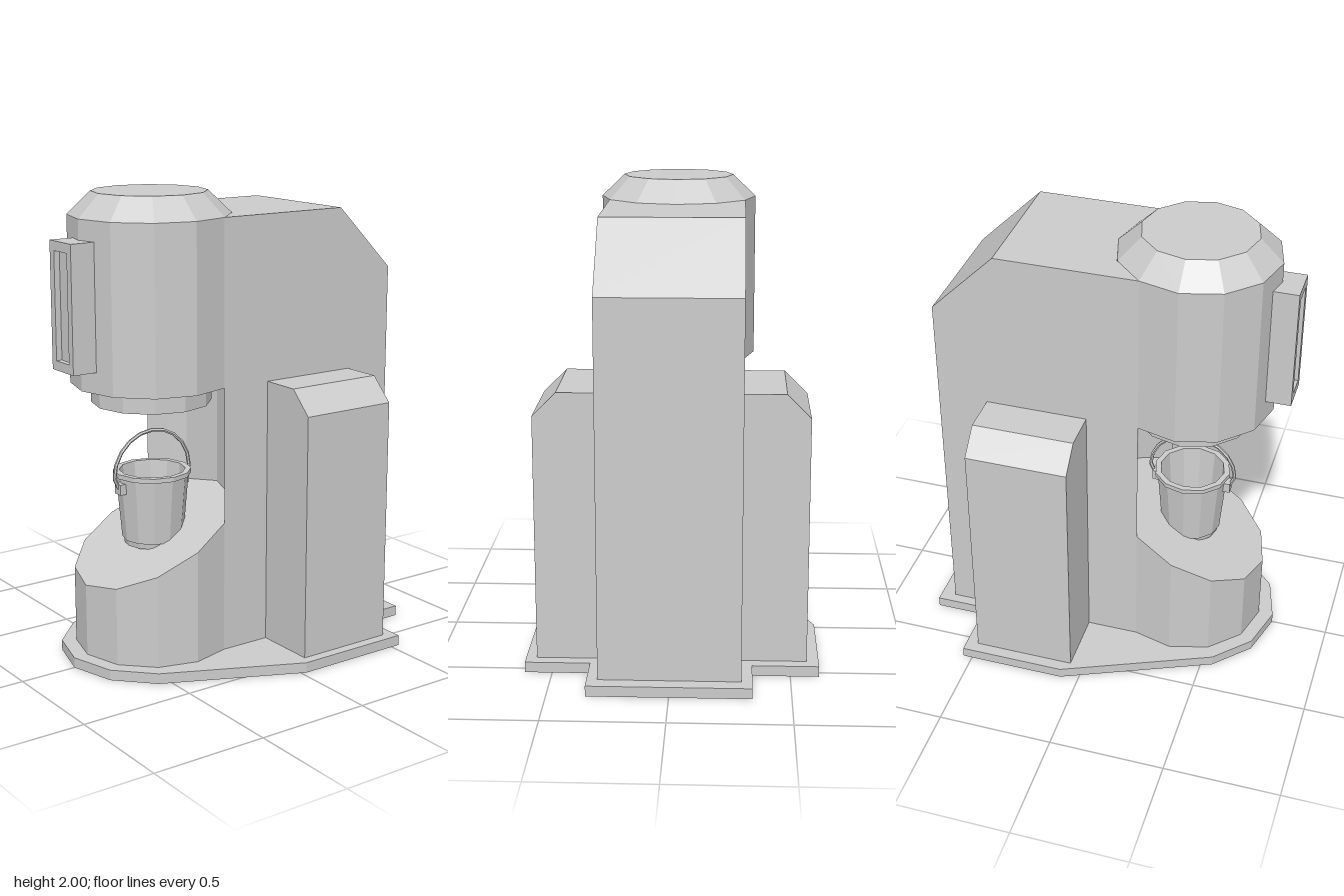
import * as THREE from 'three';

const BASE_TOP = 0.045;
const CZ = 0.345; // z of the round head, pedestal and bucket
const SIDES = 12;

const grey = new THREE.MeshStandardMaterial({ color: 0xcccccc, flatShading: true, side: THREE.DoubleSide });

function add(group, name, geometry, x = 0, y = 0, z = 0) {
  const mesh = new THREE.Mesh(geometry, grey);
  mesh.name = name;
  mesh.position.set(x, y, z);
  group.add(mesh);
  return mesh;
}

const shapeOf = (points) => new THREE.Shape(points.map(([a, b]) => new THREE.Vector2(a, b)));
const extrude = (shape, depth) => new THREE.ExtrudeGeometry(shape, { depth, bevelEnabled: false });

// Plan outline [x, z] raised from y0 to y1
function raisePlan(points, y0, y1) {
  return extrude(shapeOf(points.map(([x, z]) => [x, -z])), y1 - y0).rotateX(-Math.PI / 2).translate(0, y0, 0);
}

const lathe = (points, sides = SIDES) =>
  new THREE.LatheGeometry(points.map(([r, y]) => new THREE.Vector2(r, y)), sides);

export function createModel() {
  const model = new THREE.Group();
  model.name = 'bucketMachine';

  // Base plate
  add(model, 'basePlate', raisePlan([
    [-0.34, -0.77], [0.34, -0.77], [0.34, -0.54], [0.615, -0.54], [0.615, -0.02], [0.35, 0.55],
    [0.2, 0.695], [0, 0.75], [-0.2, 0.695], [-0.35, 0.55], [-0.62, -0.08], [-0.62, -0.54], [-0.34, -0.54],
  ], 0, BASE_TOP));

  // Rear body: side profile [z, y] extruded across the width
  const profile = shapeOf([[0.005, BASE_TOP], [0.005, 1.905], [-0.43, 1.905], [-0.705, 1.63], [-0.705, BASE_TOP]]);
  add(model, 'body', extrude(profile, 0.59).rotateY(-Math.PI / 2).translate(0.295, 0, 0));

  for (const s of [1, -1]) {
    // Cheeks forming the faceted hollow behind the bucket
    add(model, s > 0 ? 'leftCheek' : 'rightCheek', raisePlan(
      [[0, 0.005], [0.295 * s, 0.005], [0.295 * s, 0.177], [0.17 * s, 0.05]], BASE_TOP, 1.905));

    // Side towers with a chamfered outer top edge
    const tower = shapeOf([
      [0.29 * s, BASE_TOP], [0.57 * s, BASE_TOP], [0.57 * s, 1.1], [0.47 * s, 1.2], [0.29 * s, 1.2],
    ]);
    add(model, s > 0 ? 'leftTower' : 'rightTower', extrude(tower, 0.44), 0, 0, -0.487);
  }

  // Round head with bevelled top, and nozzle below
  add(model, 'head', lathe([[0, 1.2], [0.34, 1.2], [0.34, 1.905], [0.242, 2], [0, 2]]), 0, 0, CZ);
  add(model, 'nozzle', lathe([[0, 1.115], [0.255, 1.115], [0.255, 1.2]]), 0, 0, CZ);

  // Pedestal with sloping top
  const pedestal = new THREE.CylinderGeometry(0.34, 0.34, 1, SIDES);
  const pos = pedestal.attributes.position;
  for (let i = 0; i < pos.count; i++) {
    pos.setY(i, pos.getY(i) > 0 ? 0.53 - 0.505 * pos.getZ(i) : BASE_TOP);
  }
  pedestal.computeVertexNormals();
  add(model, 'pedestal', pedestal, 0, 0, CZ);

  // Front panel: frame with a recessed face
  const panel = new THREE.Group();
  panel.name = 'frontPanel';
  panel.position.set(0, 1.555, 0.65);
  const frame = shapeOf([[-0.083, -0.265], [0.083, -0.265], [0.083, 0.265], [-0.083, 0.265]]);
  frame.holes.push(shapeOf([[-0.05, -0.225], [-0.05, 0.225], [0.05, 0.225], [0.05, -0.225]]));
  add(panel, 'panelFrame', extrude(frame, 0.12));
  add(panel, 'panelFace', new THREE.BoxGeometry(0.1, 0.45, 0.085), 0, 0, 0.0525);
  model.add(panel);

  // Hollow bucket with foot and rim bands
  const bucket = new THREE.Group();
  bucket.name = 'bucket';
  bucket.position.z = CZ;
  add(bucket, 'pail', lathe([
    [0, 0.49], [0.122, 0.49], [0.125, 0.515], [0.132, 0.515], [0.156, 0.795], [0.167, 0.795],
    [0.167, 0.815], [0.142, 0.815], [0.12, 0.53], [0, 0.53],
  ]));

  // Arched handle and its two lugs
  const path = [[0.165, 0.745]];
  for (let i = 0; i <= 10; i++) {
    const a = (i / 10) * Math.PI;
    path.push([0.19 * Math.cos(a), 0.8 + 0.185 * Math.sin(a)]);
  }
  path.push([-0.165, 0.745]);
  const curve = new THREE.CurvePath();
  const pts = path.map(([z, y]) => new THREE.Vector3(0, y, z));
  for (let i = 1; i < pts.length; i++) curve.add(new THREE.LineCurve3(pts[i - 1], pts[i]));
  add(bucket, 'handle', new THREE.TubeGeometry(curve, 48, 0.008, 6));
  for (const s of [1, -1]) {
    add(bucket, 'handleLug', new THREE.BoxGeometry(0.045, 0.045, 0.03), 0, 0.752, 0.16 * s);
  }
  model.add(bucket);

  return model;
}
